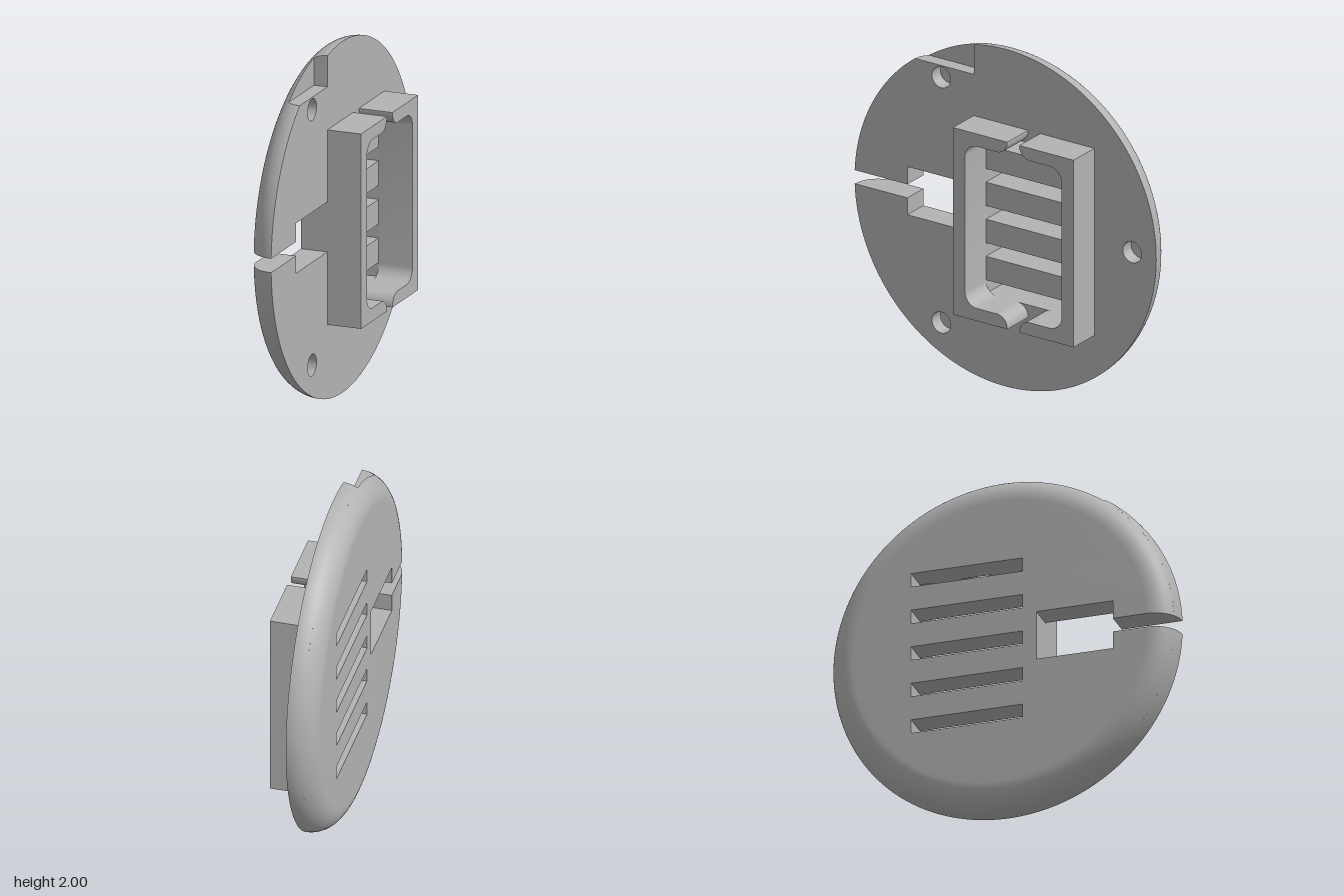
import * as THREE from 'three';
import { mergeGeometries, toCreasedNormals } from 'three/addons/utils/BufferGeometryUtils.js';

// Built facing local +z (flat face), then turned so that it faces +x.
const FACE = -0.025, BACK = -0.18, FLOOR = -0.105; // depths of flat face, domed side, recesses
const R = FACE - BACK, CORE = 1 - R;               // rim rounding and the flat radius inside it
const V = (x, y) => new THREE.Vector2(x, y);

function arc(r, a, b, n, cx = 0, cy = 0) {
  return Array.from({ length: n + 1 }, (_, i) => {
    const t = a + (b - a) * i / n;
    return V(cx + r * Math.cos(t), cy + r * Math.sin(t));
  });
}

// Depth of the domed side at a point
function domeDepth(p) {
  const s = Math.min(Math.max(p.length() - CORE, 0), R);
  return FACE - Math.sqrt(R * R - s * s);
}

// Angles where the rim meets the key slot and the notch
const slotAngle = r => Math.PI - Math.asin(0.04 / r);
const notchStart = r => Math.acos(-0.21 / r);
const notchEnd = r => Math.PI - Math.asin(0.8 / r);

const keyPath = [V(-0.65, 0.04), V(-0.65, 0.145), V(-0.21, 0.145),
  V(-0.21, -0.14), V(-0.65, -0.14), V(-0.65, -0.04)];

function flat(outline, holes, depth, flip = false) {
  const shape = new THREE.Shape(outline);
  shape.holes = holes.map(h => new THREE.Path(h));
  const g = new THREE.ShapeGeometry(shape).translate(0, 0, depth);
  if (flip) g.index.array.reverse();
  return g.toNonIndexed();
}

// Walls along a path with the solid on its left
function wall(path, low, high = FACE) {
  const pos = [];
  for (let i = 0; i + 1 < path.length; i++) {
    const p = path[i], q = path[i + 1], a = low(p), b = low(q);
    pos.push(p.x, p.y, a, q.x, q.y, b, q.x, q.y, high);
    pos.push(p.x, p.y, a, q.x, q.y, high, p.x, p.y, high);
  }
  return new THREE.BufferGeometry().setAttribute('position', new THREE.Float32BufferAttribute(pos, 3));
}

function line(a, b, n = 48) {
  return Array.from({ length: n + 1 }, (_, i) => a.clone().lerp(b, i / n));
}

// Rounded rim between two profile angles and two edge angles
function rim(phi0, phi1, start, end, rows, cols) {
  const pos = [];
  const point = (i, j) => {
    const phi = phi0 + (phi1 - phi0) * i / rows, r = CORE + R * Math.sin(phi);
    const t = start(r) + (end(r) - start(r)) * j / cols;
    return [r * Math.cos(t), r * Math.sin(t), FACE - R * Math.cos(phi)];
  };
  for (let i = 0; i < rows; i++) for (let j = 0; j < cols; j++) {
    const a = point(i, j), b = point(i, j + 1), c = point(i + 1, j + 1), d = point(i + 1, j);
    pos.push(...a, ...b, ...c, ...a, ...c, ...d);
  }
  return new THREE.BufferGeometry().setAttribute('position', new THREE.Float32BufferAttribute(pos, 3));
}

function discGeometry() {
  const parts = [];
  const low = r => -slotAngle(r);

  // Five vents, wound clockwise
  const vents = [-0.44, -0.22, 0, 0.22, 0.44].map(y => [
    V(-0.13, y - 0.04), V(-0.13, y + 0.04), V(0.51, y + 0.04), V(0.51, y - 0.04)]);
  for (const v of vents) parts.push(wall([...v, v[0]], () => BACK));

  // Three blind round holes
  const holes = [[-0.425, 0.73], [-0.425, -0.725], [0.84, 0]].map(([x, y]) => {
    const ring = arc(0.062, Math.PI * 2, 0, 48, x, y);
    parts.push(wall(ring, () => FLOOR));
    const pts = ring.slice(0, -1);
    parts.push(flat(pts, [], FLOOR));
    return pts;
  });

  // Domed side and flat side
  parts.push(flat([...arc(CORE, low(CORE), slotAngle(CORE), 160), ...keyPath], vents, BACK, true));
  parts.push(flat([
    ...arc(1, low(1), notchStart(1), 120), V(-0.21, 0.8),
    ...arc(1, notchEnd(1), slotAngle(1), 40), ...keyPath], [...vents, ...holes], FACE));

  // Rim, open where the notch cuts it
  const split = Math.acos((FACE - FLOOR) / R);
  parts.push(rim(0, split, low, slotAngle, 10, 160));
  parts.push(rim(split, Math.PI / 2, low, notchStart, 8, 120));
  parts.push(rim(split, Math.PI / 2, notchEnd, slotAngle, 8, 40));

  // Key opening and slot walls
  parts.push(wall(keyPath, () => BACK));
  const tip = -Math.sqrt(1 - 0.04 ** 2);
  parts.push(wall(line(V(tip, 0.04), keyPath[0]), domeDepth));
  parts.push(wall(line(keyPath[5], V(tip, -0.04)), domeDepth));

  // Notch floor and walls
  const rn = CORE + R * Math.sin(split);
  parts.push(flat([V(-0.21, 0.8), ...arc(rn, notchStart(rn), notchEnd(rn), 24)], [], FLOOR));
  const notchDepth = p => Math.max(FLOOR, domeDepth(p));
  parts.push(wall(line(V(-0.21, Math.sqrt(1 - 0.21 ** 2)), V(-0.21, 0.8)), notchDepth));
  parts.push(wall(line(V(-0.21, 0.8), V(-0.6, 0.8)), notchDepth));

  for (const g of parts) for (const name of ['uv', 'normal']) g.deleteAttribute(name);
  return toCreasedNormals(mergeGeometries(parts), 0.5);
}

// One C-shaped half of the raised frame
function bracketGeometry() {
  const P = Math.PI, s = new THREE.Shape();
  s.moveTo(0.04, -0.555).lineTo(0.4, -0.555).lineTo(0.4, 0.555).lineTo(0.04, 0.555);
  s.lineTo(0.04, 0.55).absarc(0.11, 0.55, 0.07, P, P * 1.5, false);
  s.lineTo(0.24, 0.48).absarc(0.24, 0.4, 0.08, P / 2, 0, true);
  s.lineTo(0.32, -0.4).absarc(0.24, -0.4, 0.08, 0, -P / 2, true);
  s.lineTo(0.11, -0.48).absarc(0.11, -0.55, 0.07, P / 2, P, false);
  const g = new THREE.ExtrudeGeometry(s, { depth: 0.2, bevelEnabled: false, curveSegments: 14 });
  return toCreasedNormals(g, 0.5);
}

export function createModel() {
  const grey = new THREE.MeshStandardMaterial({ color: 0xb3b3b3 });
  grey.name = 'grey';
  const model = new THREE.Group();
  model.name = 'ventedDisc';

  const body = new THREE.Group();
  body.name = 'body';
  body.rotation.y = Math.PI / 2;
  body.position.y = 1;
  model.add(body);

  const disc = new THREE.Mesh(discGeometry(), grey);
  disc.name = 'disc';
  body.add(disc);

  const bracket = bracketGeometry();
  ['rearBracket', 'frontBracket'].forEach((name, i) => {
    const mesh = new THREE.Mesh(bracket, grey);
    mesh.name = name;
    mesh.position.set(0.19, 0, FACE);
    mesh.rotation.z = i * Math.PI;
    body.add(mesh);
  });
  return model;
}
